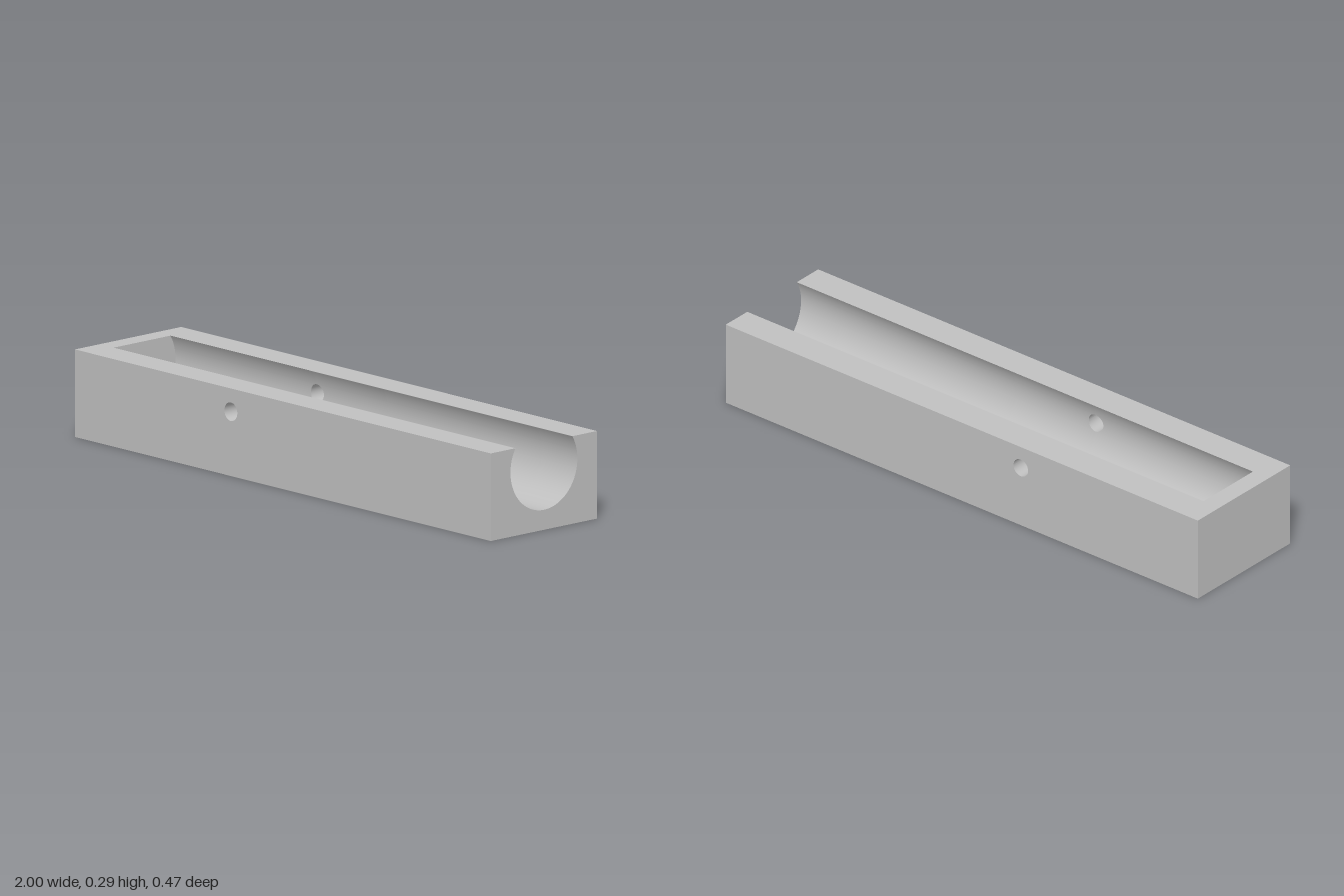
import * as THREE from 'three';

const H = 0.293, D = 0.235;            // block height and half depth (half length is 1)
const R = 0.148, CY = 0.215;           // channel radius and axis height
const X0 = -0.933;                     // closed end of the channel
const r = 0.031;                       // drilled hole radius
const T = Math.PI / 2 + Math.asin((H - CY) / R); // channel lip angle, 0 is straight down
const Q = Math.PI / 2;

// Drilled holes: position along x, direction angle, distance from axis to outside
const holes = [
  { x: -0.25, c: Q, out: D },
  { x: -0.25, c: -Q, out: D },
  { x: 0.09, c: 0, out: CY },
  { x: 0.83, c: 0, out: CY },
];

// Surface from a grid of points; it faces along du x dv
function surface(us, vs, f) {
  const pos = [], idx = [], n = vs.length;
  us.forEach(u => vs.forEach(v => pos.push(...f(u, v))));
  for (let i = 0; i < us.length - 1; i++) {
    for (let j = 0; j < n - 1; j++) {
      const a = i * n + j, b = a + n;
      idx.push(a, b, b + 1, a, b + 1, a + 1);
    }
  }
  const g = new THREE.BufferGeometry();
  g.setAttribute('position', new THREE.Float32BufferAttribute(pos, 3));
  g.setIndex(idx);
  g.computeVertexNormals();
  return g;
}

const steps = (a, b, n) => Array.from({ length: n + 1 }, (_, i) => a + (b - a) * i / n);

// Flat panel from corner pairs with round holes
function panel(points, centres = []) {
  const s = new THREE.Shape(points.map(p => new THREE.Vector2(...p)));
  centres.forEach(([x, y]) => s.holes.push(new THREE.Path().absarc(x, y, r, 0, Math.PI * 2, true)));
  return new THREE.ShapeGeometry(s, 24);
}

const rect = (x0, y0, x1, y1) => [[x0, y0], [x1, y0], [x1, y1], [x0, y1]];

export function createModel() {
  const group = new THREE.Group();
  const grey = new THREE.MeshStandardMaterial({ color: 0xc0c0c0 });
  grey.name = 'plain grey';
  const add = (name, geo) => {
    const m = new THREE.Mesh(geo, grey);
    m.name = name;
    group.add(m);
  };

  // Outer faces of the block
  const lip = R * Math.sin(T);
  const arc = steps(T, -T, 96).map(t => [R * Math.sin(t), CY - R * Math.cos(t)]);
  add('bottomFace', panel(rect(-1, -D, 1, D), [[0.09, 0], [0.83, 0]]).rotateX(Q));
  add('topFace', panel([[-1, -D], [1, -D], [1, -lip], [X0, -lip], [X0, lip], [1, lip], [1, D], [-1, D]])
    .rotateX(-Q).translate(0, H, 0));
  add('frontFace', panel(rect(-1, 0, 1, H), [[-0.25, CY]]).translate(0, 0, D));
  add('backFace', panel(rect(-1, 0, 1, H), [[0.25, CY]]).rotateY(Math.PI).translate(0, 0, -D));
  add('closedEnd', panel(rect(-D, 0, D, H)).rotateY(-Q).translate(-1, 0, 0));
  add('openEnd', panel([[-D, 0], [D, 0], [D, H], ...arc, [-D, H]]).rotateY(Q).translate(1, 0, 0));

  // Flat wall where the channel stops
  add('channelEndWall', panel(arc.slice().reverse()).rotateY(Q).translate(X0, 0, 0));

  // Channel wall, in lengthwise strips that open around the holes
  const angles = steps(-T, T, 96);
  [-Q, 0, Q].forEach(c => steps(-Q, Q, 24).forEach(p => {
    angles.push(c + Math.asin(r / R * Math.sin(p)));
  }));
  angles.sort((a, b) => a - b);
  const ts = angles.filter((t, i) => i === 0 || t - angles[i - 1] > 1e-6);
  const halfGap = (x, t) => Math.max(0, ...holes.filter(h => h.x === x && Math.abs(t - h.c) < 0.5)
    .map(h => Math.sqrt(Math.max(0, r * r - (R * Math.sin(t - h.c)) ** 2))));
  const stops = [X0, -0.25, 0.09, 0.83, 1];
  for (let i = 0; i < stops.length - 1; i++) {
    add('channelWall', surface(ts, [0, 1], (t, v) => {
      const a = stops[i] + halfGap(stops[i], t);
      const b = stops[i + 1] - halfGap(stops[i + 1], t);
      return [a + (b - a) * v, CY - R * Math.cos(t), R * Math.sin(t)];
    }));
  }

  // Bores of the drilled holes, trimmed to the channel's curve
  holes.forEach(({ x, c, out }) => {
    add('holeBore', surface([0, 1], steps(0, Math.PI * 2, 48), (u, p) => {
      const off = r * Math.sin(p);
      const inner = Math.sqrt(R * R - off * off);
      const d = inner + (out - inner) * u;
      return [x + r * Math.cos(p),
        CY - d * Math.cos(c) + off * Math.sin(c),
        d * Math.sin(c) + off * Math.cos(c)];
    }));
  });

  return group;
}
